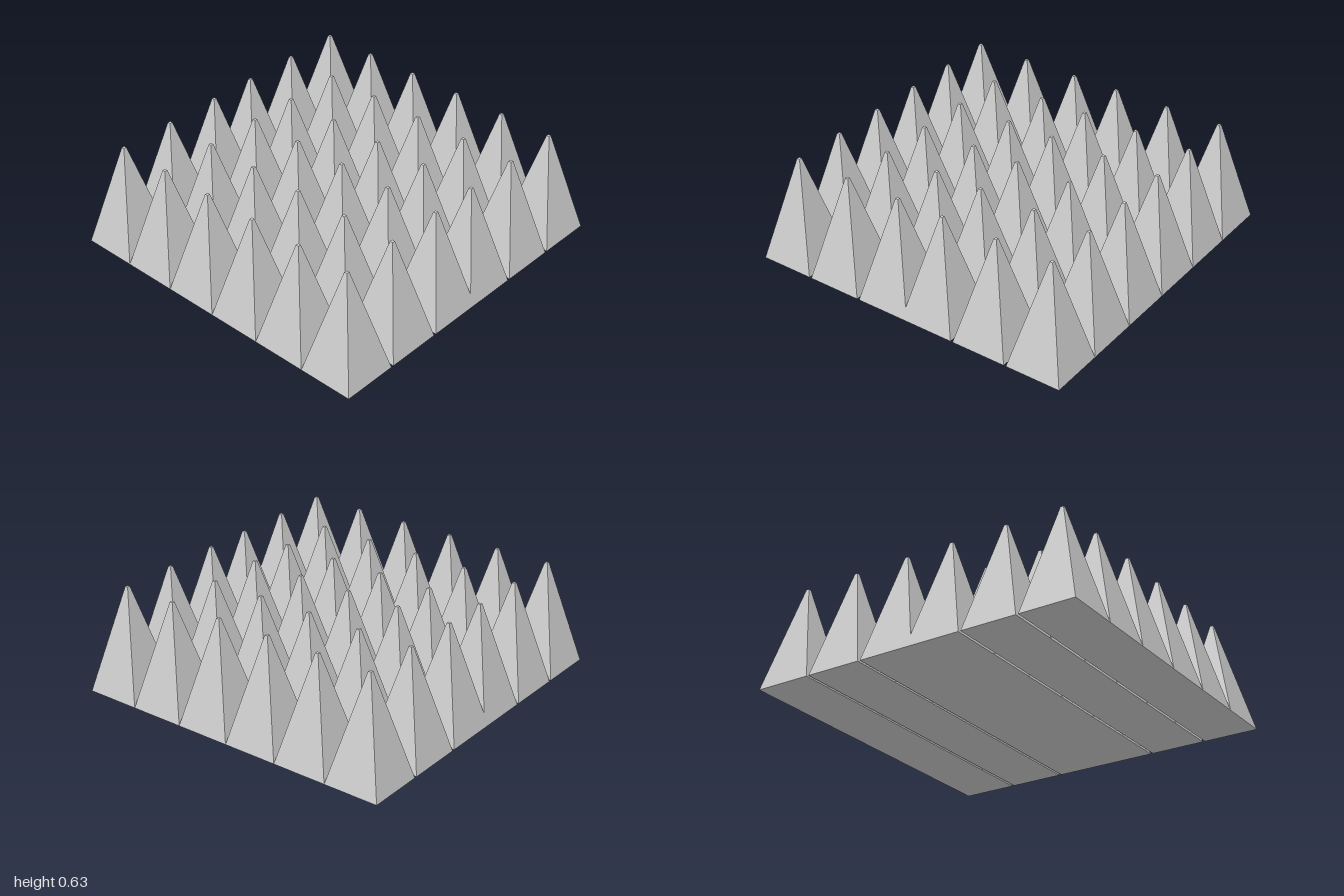
import * as THREE from 'three';

const PITCH = 0.33;    // base width of one spike and spacing along x
const HEIGHT = 0.63;
const TIP = 0.018;     // width of the small flat tip
const ROWS = [-0.835, -0.491, -0.147, 0.147, 0.491, 0.835]; // the two middle rows overlap

// Square truncated pyramid standing on y = 0
function spikeGeometry() {
  const geometry = new THREE.CylinderGeometry(TIP * Math.SQRT1_2, PITCH * Math.SQRT1_2, HEIGHT, 4);
  geometry.rotateY(Math.PI / 4);
  geometry.translate(0, HEIGHT / 2, 0);
  return geometry;
}

export function createModel() {
  const model = new THREE.Group();
  model.name = 'spikePanel';
  const material = new THREE.MeshStandardMaterial({ color: 0xcccccc, flatShading: true });
  const geometry = spikeGeometry();

  // Six strips of six spikes each
  ROWS.forEach((z, r) => {
    const strip = new THREE.Group();
    strip.name = `spikeStrip${r + 1}`;
    strip.position.z = z;
    for (let i = 0; i < 6; i++) {
      const spike = new THREE.Mesh(geometry, material);
      spike.name = `spike${i + 1}`;
      spike.position.x = (i - 2.5) * PITCH;
      strip.add(spike);
    }
    model.add(strip);
  });
  return model;
}
